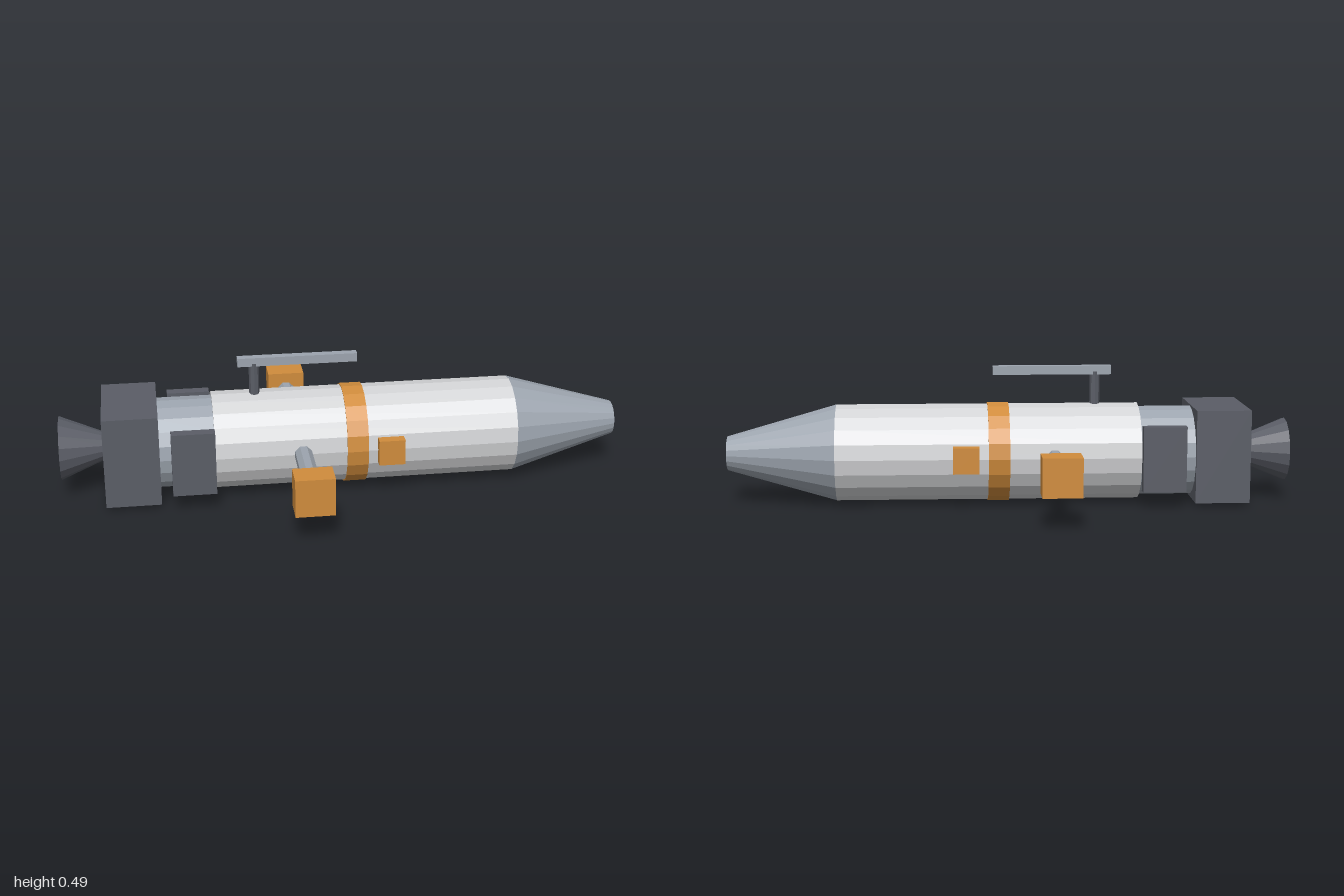
import * as THREE from 'three';

const AXIS = 0.178; // height of the hull's centre line

function material(name, color) {
  const m = new THREE.MeshStandardMaterial({ color, flatShading: true });
  m.name = name;
  return m;
}

export function createModel() {
  const white = material('hullWhite', 0xd2d3d5);
  const grey = material('metalGrey', 0x9ca4ae);
  const dark = material('darkGrey', 0x5a5d66);
  const orange = material('orange', 0xd08c3c);

  const model = new THREE.Group();
  model.name = 'spacecraft';

  function add(name, geometry, mat, x, y, z) {
    const mesh = new THREE.Mesh(geometry, mat);
    mesh.name = name;
    mesh.position.set(x, y, z);
    model.add(mesh);
    return mesh;
  }

  // Round section lying along x, from x0 (radius r0) to x1 (radius r1)
  function section(name, x0, x1, r0, r1, mat, sides = 20) {
    const g = new THREE.CylinderGeometry(r1, r0, x1 - x0, sides).rotateZ(-Math.PI / 2);
    return add(name, g, mat, (x0 + x1) / 2, AXIS, 0);
  }

  // Box given by its x, y and z ranges
  function box(name, [x0, x1], [y0, y1], [z0, z1], mat) {
    const g = new THREE.BoxGeometry(x1 - x0, y1 - y0, z1 - z0);
    return add(name, g, mat, (x0 + x1) / 2, (y0 + y1) / 2, (z0 + z1) / 2);
  }
  const around = (h) => [AXIS - h, AXIS + h];

  // Hull, from tail to nose
  section('engineNozzle', -1, -0.846, 0.113, 0.05, dark, 16);
  box('engineBlock', [-0.848, -0.655], around(0.165), [-0.165, 0.165], dark);
  section('rearCollar', -0.655, -0.463, 0.16, 0.16, grey);
  section('mainHull', -0.463, 0.612, 0.173, 0.173, white);
  section('noseCone', 0.612, 1, 0.173, 0.061, grey);
  section('hullBand', 0, 0.075, 0.178, 0.178, orange);

  // Fittings repeated on both sides
  for (const s of [1, -1]) {
    const side = s > 0 ? 'Front' : 'Back';
    const zRange = (a, b) => (s > 0 ? [a, b] : [-b, -a]);
    box('sidePanel' + side, [-0.615, -0.463], around(0.115), zRange(0.168, 0.207), dark);
    box('sensorBox' + side, [0.108, 0.2], around(0.046), zRange(0.16, 0.203), orange);
    box('podBox' + side, [-0.223, -0.088], around(0.067), zRange(0.42, 0.516), orange);
    const arm = new THREE.CylinderGeometry(0.032, 0.032, 0.3, 8).rotateY(Math.PI / 8).rotateX(Math.PI / 2);
    add('podArm' + side, arm, grey, -0.156, AXIS, s * 0.28);
  }

  // Antenna on top
  add('antennaPost', new THREE.CylinderGeometry(0.018, 0.018, 0.13, 8), dark, -0.31, 0.4, 0);
  box('antennaRail', [-0.368, 0.055], [0.455, 0.486], [-0.015, 0.015], grey);

  return model;
}
